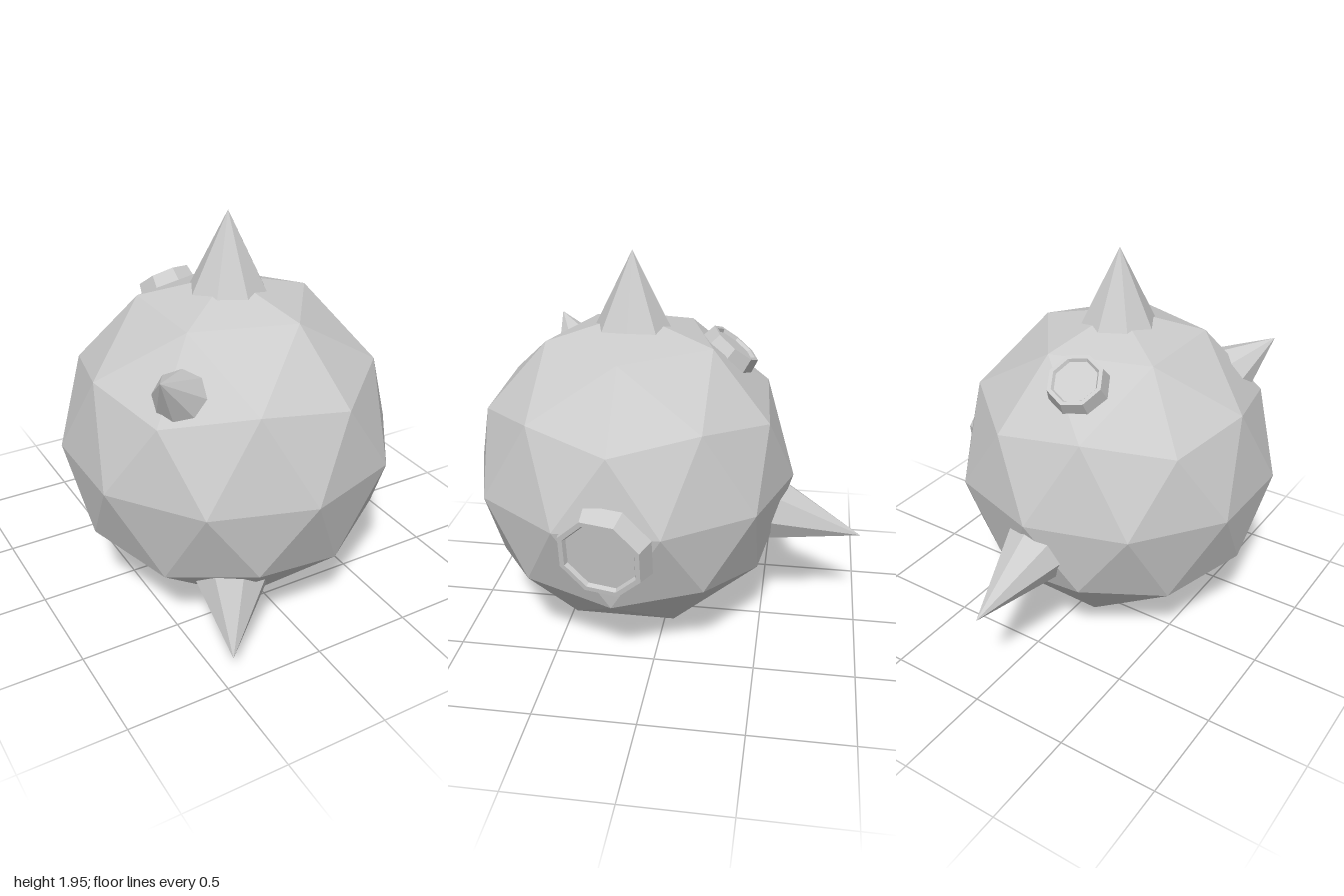
import * as THREE from 'three';

const CENTER = new THREE.Vector3(-0.04, 0.82, 0.18);
const RADIUS = 0.82;
const UP = new THREE.Vector3(0, 1, 0);

const material = new THREE.MeshStandardMaterial({ color: 0xcccccc, flatShading: true });

function part(name, geometry) {
  const mesh = new THREE.Mesh(geometry, material);
  mesh.name = name;
  return mesh;
}

// Eight-sided spike along the radius through its tip, sunk into the body.
function spike(name, tip, baseRadius, visibleLength) {
  const axis = new THREE.Vector3(...tip).sub(CENTER);
  const sunk = 0.06;
  const length = visibleLength + sunk;
  const geometry = new THREE.ConeGeometry(baseRadius * length / visibleLength, length, 8);
  geometry.translate(0, -length / 2, 0);
  const mesh = part(name, geometry);
  mesh.position.set(...tip);
  mesh.quaternion.setFromUnitVectors(UP, axis.normalize());
  return mesh;
}

// Eight-sided tapered collar with a shallow recessed floor; origin at the rim centre.
function port(name, rimCenter, normal, [base, rim, inner], recess, turn) {
  const profile = [
    [base, -0.09], [rim, 0], [inner, 0], [inner - 0.01, -recess], [0, -recess],
  ].map(([r, y]) => new THREE.Vector2(r, y));
  const geometry = new THREE.LatheGeometry(profile, 8).rotateY(turn);
  const mesh = part(name, geometry);
  mesh.position.copy(rimCenter);
  mesh.quaternion.setFromUnitVectors(UP, normal.clone().normalize());
  return mesh;
}

export function createModel() {
  const model = new THREE.Group();
  model.name = 'spikedBall';

  // Faceted body, turned so that an icosahedron corner points straight up
  const body = part('body', new THREE.IcosahedronGeometry(RADIUS, 1)
    .rotateZ(-Math.atan(2 / (1 + Math.sqrt(5)))));
  body.position.copy(CENTER);
  model.add(body);

  // Spikes
  model.add(
    spike('topSpike', [-0.04, 1.95, 0.18], 0.19, 0.38),
    spike('backSpike', [-0.03, 0.5, -1.0], 0.16, 0.45),
    spike('lowerFrontSpike', [-0.42, 0.07, 0.91], 0.18, 0.36),
    spike('upperRightSpike', [-0.65, 1.445, 0.69], 0.13, 0.25),
  );

  // Ports on the left side and the upper back
  const backNormal = new THREE.Vector3(-0.1, 0.79, -0.6).normalize();
  model.add(
    port('sidePort', new THREE.Vector3(0.775, 0.72, 0.205),
      new THREE.Vector3(0.97, -0.16, 0.18), [0.245, 0.215, 0.19], 0.02, 0.18),
    port('backPort', CENTER.clone().addScaledVector(backNormal, 0.835),
      backNormal, [0.155, 0.138, 0.118], 0.015, 0),
  );

  return model;
}
